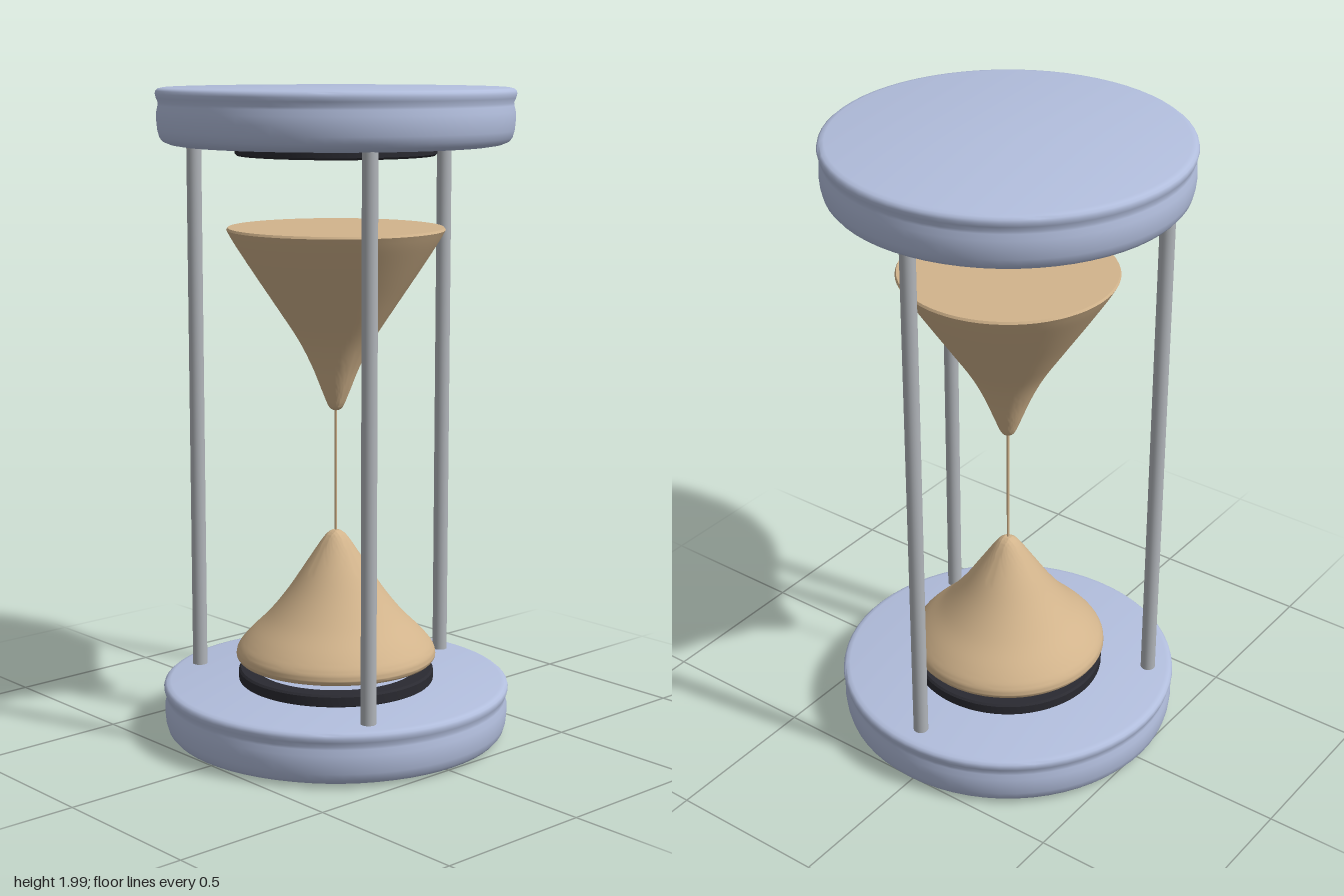
import * as THREE from 'three';
import { toCreasedNormals } from 'three/addons/utils/BufferGeometryUtils.js';

const material = (name, color) => {
  const m = new THREE.MeshStandardMaterial({ color });
  m.name = name;
  return m;
};

// Revolve [radius, height] points (listed bottom to top), optionally smoothing the profile
function turned(points, smoothSteps = 0) {
  let profile = points.map(([r, y]) => new THREE.Vector2(r, y));
  if (smoothSteps) profile = new THREE.SplineCurve(profile).getPoints(smoothSteps);
  profile.forEach((p) => { p.x = Math.max(p.x, 0); });
  return profile;
}

const lathe = (profile) => toCreasedNormals(new THREE.LatheGeometry(profile, 64), 0.7);

export function createModel() {
  const model = new THREE.Group();
  model.name = 'hourglass';

  const blue = material('pale blue', 0xb2bedd);
  const steel = material('steel grey', 0xb0b4b9);
  const black = material('black rubber', 0x2a2a31);
  const tan = material('sand', 0xd2b48c);

  const add = (name, geometry, mat, y = 0) => {
    const mesh = new THREE.Mesh(geometry, mat);
    mesh.name = name;
    mesh.position.y = y;
    model.add(mesh);
    return mesh;
  };

  // End plates: rounded body, shallow groove and a thin lip on the upper edge
  const plate = lathe(turned([
    [0, 0], [0.47, 0], [0.495, 0.004], [0.515, 0.012], [0.525, 0.024], [0.531, 0.045],
    [0.534, 0.075], [0.533, 0.1], [0.529, 0.118], [0.528, 0.126], [0.534, 0.14],
    [0.537, 0.152], [0.535, 0.161], [0.528, 0.167], [0.515, 0.17], [0, 0.17],
  ]));
  add('bottomPlate', plate, blue, 0.008);
  add('topPlate', plate, blue, 1.83);

  // Seating rings on the inner faces of the plates
  const ring = lathe(turned([
    [0.25, 0], [0.297, 0], [0.303, 0.006], [0.303, 0.034], [0.297, 0.04], [0.25, 0.04], [0.25, 0],
  ]));
  add('bottomRing', ring, black, 0.175);
  add('topRing', ring, black, 1.8);

  // Three support rods
  const rod = new THREE.CylinderGeometry(0.023, 0.023, 1.67, 24);
  for (let i = 0; i < 3; i++) {
    const angle = Math.PI / 6 + (i * Math.PI * 2) / 3;
    const mesh = add('supportRod' + (i + 1), rod, steel, 1.005);
    mesh.position.x = 0.457 * Math.cos(angle);
    mesh.position.z = 0.457 * Math.sin(angle);
  }

  // Upper sand: funnel with a flat surface
  const funnel = turned([
    [0, 1.025], [0.02, 1.035], [0.04, 1.08], [0.072, 1.16], [0.115, 1.245],
    [0.18, 1.345], [0.25, 1.45], [0.305, 1.535], [0.33, 1.578],
  ], 48);
  funnel.push(new THREE.Vector2(0.326, 1.585), new THREE.Vector2(0, 1.583));
  add('upperSand', lathe(funnel), tan);

  // Lower sand: heaped cone with a rounded foot
  const heap = turned([
    [0.302, 0.245], [0.31, 0.258], [0.303, 0.285], [0.27, 0.325], [0.21, 0.385],
    [0.15, 0.46], [0.09, 0.55], [0.04, 0.625], [0.018, 0.647], [0, 0.653],
  ], 48);
  heap.unshift(new THREE.Vector2(0, 0.245));
  add('lowerSand', lathe(heap), tan);

  // Falling stream
  add('sandStream', new THREE.CylinderGeometry(0.004, 0.004, 0.39, 12), tan, 0.84);

  return model;
}
